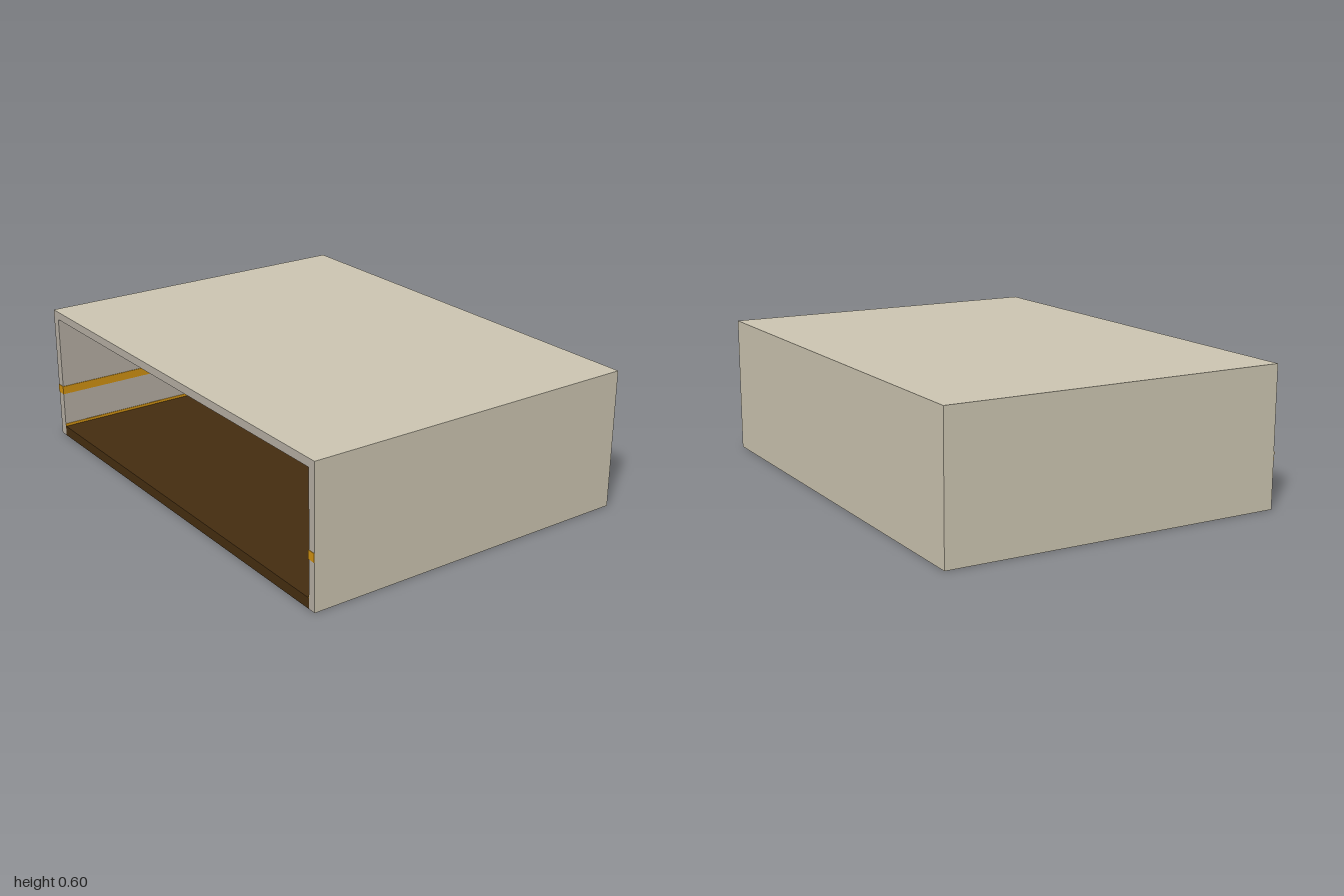
import * as THREE from 'three';

const mat = (name, color) => new THREE.MeshStandardMaterial({ name, color });

export function createModel() {
  const group = new THREE.Group();
  const shell = mat('outer shell beige', 0xcdc6b2);
  const plaster = mat('inner wall grey', 0xb5aea3);
  const ochre = mat('ochre trim', 0xcf9012);
  const wood = mat('dark brown floor', 0x452d10);

  // Box given by its minimum and maximum corners
  const block = (name, min, max, material) => {
    const size = max.map((v, i) => v - min[i]);
    const mesh = new THREE.Mesh(new THREE.BoxGeometry(...size), material);
    mesh.position.set(...max.map((v, i) => (v + min[i]) / 2));
    mesh.name = name;
    group.add(mesh);
  };
  // Face order +x -x +y -y +z -z: listed faces are the outer shell
  const faces = (...outer) => [0, 1, 2, 3, 4, 5].map(i => (outer.includes(i) ? shell : plaster));

  const Z = 0.74, L = 0.965, R = -0.96, B = -0.70;
  const floorY = 0.045, ceilY = 0.56, topY = 0.595;

  // Shell, open at the front
  block('roof', [-1, ceilY, -Z], [1, topY, Z], faces(0, 1, 2, 5));
  block('leftWall', [L, 0, -Z], [1, ceilY, Z], faces(0, 5));
  block('rightWall', [-1, 0, -Z], [R, ceilY, Z], faces(1, 5));
  block('backWall', [R, 0, -Z], [L, ceilY, B], faces(5));
  block('floor', [R, 0, B], [L, floorY, Z], wood);

  // Thin painted bands on the inner walls: stripe at mid height, skirting at the floor
  const t = 0.003;
  for (const [name, y0, y1] of [['stripe', 0.203, 0.24], ['skirting', floorY, 0.057]]) {
    block(name + 'Back', [R, y0, B], [L, y1, B + t], ochre);
    block(name + 'Left', [L - t, y0, B], [L, y1, Z], ochre);
    block(name + 'Right', [R, y0, B], [R + t, y1, Z], ochre);
  }
  // Stripe carried across the front edges of the side walls
  block('stripeLeftEdge', [L - t, 0.203, Z], [1, 0.24, Z + 0.002], ochre);
  block('stripeRightEdge', [-1, 0.203, Z], [R + t, 0.24, Z + 0.002], ochre);

  return group;
}
